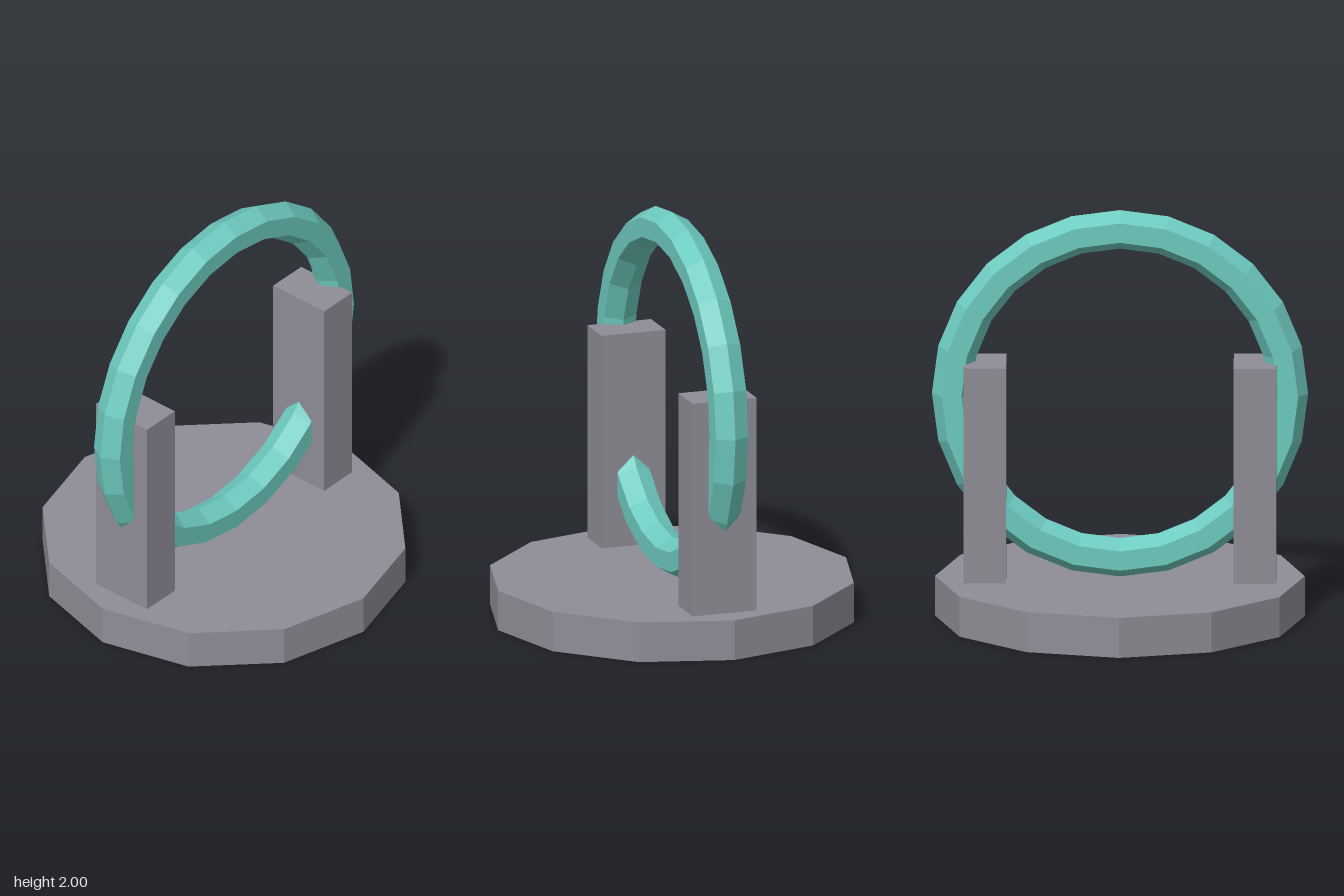
import * as THREE from 'three';

export function createModel() {
  const group = new THREE.Group();
  const stone = new THREE.MeshStandardMaterial({ color: 0x8e8c95, flatShading: true });
  stone.name = 'grey stone';
  const teal = new THREE.MeshStandardMaterial({ color: 0x6dcabf, flatShading: true });
  teal.name = 'teal';

  const add = (name, geometry, material, x, y, z) => {
    const mesh = new THREE.Mesh(geometry, material);
    mesh.name = name;
    mesh.position.set(x, y, z);
    group.add(mesh);
    return mesh;
  };

  // Twelve-sided base slab
  const baseHeight = 0.197;
  add('base', new THREE.CylinderGeometry(0.887, 0.887, baseHeight, 12), stone, 0, baseHeight / 2, 0);

  // Two square posts holding the ring
  const postHeight = 1.058;
  for (const [name, side] of [['leftPost', 1], ['rightPost', -1]]) {
    add(name, new THREE.BoxGeometry(0.205, postHeight, 0.325), stone,
      side * 0.648, baseHeight + postHeight / 2, 0);
  }

  // Upright ring with a six-sided tube
  add('ring', new THREE.TorusGeometry(0.808, 0.095, 6, 24), teal, 0, 1.097, 0);

  return group;
}
